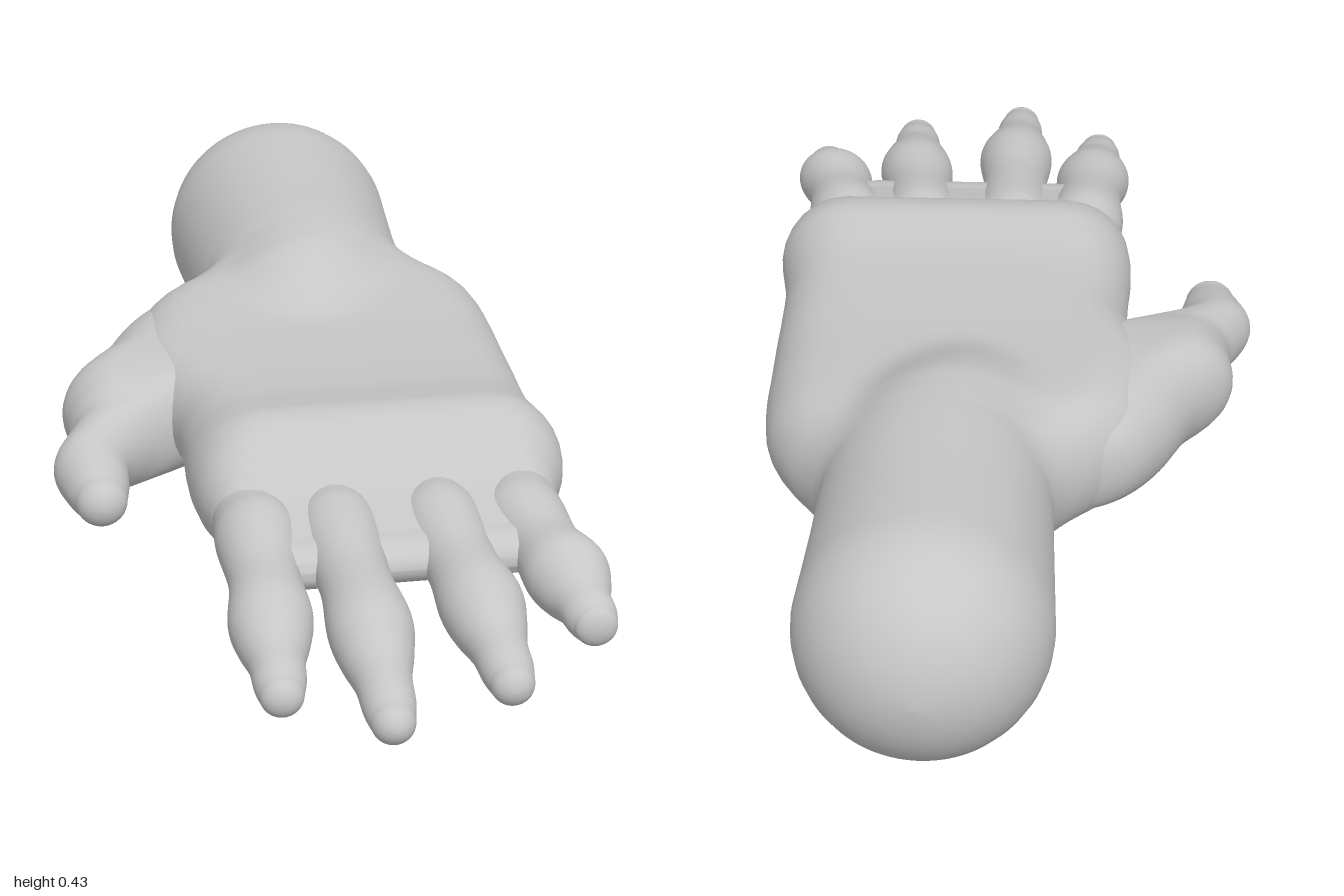
import * as THREE from 'three';

const SIDES = 80;
const FLAT = -0.1; // bulge value for sections without a round core

// Smoothly interpolates rows of numbers (Catmull-Rom), `steps` samples per span.
function smoothRows(rows, steps) {
  const out = [];
  const at = (i) => rows[Math.min(Math.max(i, 0), rows.length - 1)];
  for (let i = 0; i < rows.length - 1; i++) {
    for (let s = 0; s < steps; s++) {
      const t = s / steps;
      out.push(rows[i].map((p1, k) => {
        const p0 = at(i - 1)[k], p2 = at(i + 1)[k], p3 = at(i + 2)[k];
        return 0.5 * (2 * p1 + (p2 - p0) * t + (2 * p0 - 5 * p1 + 4 * p2 - p3) * t * t
          + (3 * p1 - p0 - 3 * p2 + p3) * t * t * t);
      }));
    }
  }
  out.push(rows[rows.length - 1]);
  return out;
}

// Rounded cap beyond one end section, listed from the section outwards.
function dome([z, x, y, w, h, bulge], depth) {
  const caps = [], r = Math.max(Math.min(w, h), bulge);
  for (let i = 1; i <= 10; i++) {
    const a = (i / 10) * Math.PI / 2, cut = r * (1 - Math.cos(a));
    caps.push([z + depth * Math.sin(a), x, y,
      Math.max(w - cut, 1e-5), Math.max(h - cut, 1e-5), bulge - cut]);
  }
  return caps;
}

// Distance from a section's centre to its outline: a stadium blended with a round core.
function outline(c, s, w, h, bulge) {
  const half = Math.max(w - h, 0);
  const flat = h / Math.abs(s);
  const d = flat * Math.abs(c) <= half
    ? flat
    : half * Math.abs(c) + Math.sqrt(Math.max(h * h - half * half * s * s, 0));
  const top = Math.max(d, bulge), k = Math.min(0.06, top);
  const mix = Math.max(k - Math.abs(d - bulge), 0) / k;
  return top + mix * mix * k / 4;
}

// Loft along z with domed ends. Each section is
// [z, centre x, centre y, half width, half height, core radius].
function loft(sections, backDepth, frontDepth) {
  const rings = [
    ...dome(sections[0], -backDepth).reverse(),
    ...smoothRows(sections, 5),
    ...dome(sections[sections.length - 1], frontDepth),
  ];
  const pos = [], index = [];
  rings.forEach(([z, x, y, w, h, bulge], i) => {
    for (let j = 0; j < SIDES; j++) {
      const a = ((j + 0.5) / SIDES) * Math.PI * 2;
      const c = Math.cos(a), s = Math.sin(a), d = outline(c, s, w, h, bulge);
      pos.push(x + d * c, y + d * s, z);
      if (i < rings.length - 1) {
        const n = (j + 1) % SIDES, p = i * SIDES, q = p + SIDES;
        index.push(p + j, p + n, q + j, p + n, q + n, q + j);
      }
    }
  });
  const geo = new THREE.BufferGeometry();
  geo.setAttribute('position', new THREE.Float32BufferAttribute(pos, 3));
  geo.setIndex(index);
  geo.computeVertexNormals();
  return geo;
}

export function createModel() {
  const hand = new THREE.Group();
  hand.name = 'hand';
  const grey = new THREE.MeshStandardMaterial({ color: 0xc6c6c6 });
  grey.name = 'lightGrey';

  const add = (name, sections, back, front) => {
    const mesh = new THREE.Mesh(loft(sections, back, front), grey);
    mesh.name = name;
    hand.add(mesh);
  };

  // Forearm, palm, knuckle ridge and finger webbing in one smooth skin
  add('forearmAndPalm', [
    [-0.79, 0.102, 0.217, 0.1, 0.08, 0.213],
    [-0.6, 0.1, 0.216, 0.1, 0.08, 0.203],
    [-0.5, 0.1, 0.216, 0.12, 0.085, 0.199],
    [-0.45, 0.1, 0.216, 0.175, 0.1, 0.197],
    [-0.41, 0.1, 0.216, 0.22, 0.11, 0.194],
    [-0.36, 0.094, 0.216, 0.27, 0.117, 0.19],
    [-0.29, 0.08, 0.216, 0.32, 0.121, 0.178],
    [-0.2, 0.07, 0.216, 0.34, 0.118, 0.135],
    [-0.1, 0.068, 0.216, 0.342, 0.112, 0.05],
    [0, 0.085, 0.216, 0.325, 0.11, FLAT],
    [0.08, 0.096, 0.216, 0.313, 0.11, FLAT],
    [0.17, 0.097, 0.216, 0.313, 0.114, FLAT],
    [0.24, 0.1, 0.216, 0.32, 0.126, FLAT],
    [0.29, 0.104, 0.217, 0.323, 0.131, FLAT],
    [0.34, 0.103, 0.215, 0.316, 0.119, FLAT],
    [0.385, 0.1, 0.209, 0.3, 0.09, FLAT],
    [0.43, 0.1, 0.203, 0.286, 0.064, FLAT],
    [0.49, 0.098, 0.199, 0.274, 0.05, FLAT],
    [0.54, 0.092, 0.194, 0.26, 0.042, FLAT],
  ], 0.21, 0.06);

  // Thumb: broad fleshy base narrowing to a short tip
  add('thumb', [
    [-0.38, 0, 0.21, 0.13, 0.06, FLAT],
    [-0.33, -0.07, 0.207, 0.158, 0.085, FLAT],
    [-0.25, -0.12, 0.203, 0.17, 0.107, FLAT],
    [-0.15, -0.17, 0.204, 0.17, 0.108, FLAT],
    [-0.07, -0.22, 0.203, 0.18, 0.105, FLAT],
    [0, -0.265, 0.2, 0.135, 0.097, FLAT],
    [0.05, -0.3, 0.195, 0.1, 0.085, FLAT],
    [0.09, -0.34, 0.191, 0.079, 0.078, FLAT],
    [0.14, -0.372, 0.188, 0.067, 0.067, FLAT],
    [0.2, -0.37, 0.18, 0.056, 0.056, FLAT],
    [0.24, -0.367, 0.177, 0.045, 0.045, FLAT],
  ], 0.05, 0.04);

  // Fingers: [name, knuckle x, joint x, y, z, tip x, y, z]
  const fingers = [
    ['indexFinger', -0.132, -0.142, 0.168, 0.68, -0.153, 0.127, 0.89],
    ['middleFinger', 0.005, 0.01, 0.175, 0.74, 0.007, 0.124, 1.0],
    ['ringFinger', 0.18, 0.202, 0.175, 0.69, 0.214, 0.134, 0.925],
    ['littleFinger', 0.322, 0.356, 0.188, 0.635, 0.383, 0.15, 0.78],
  ];
  for (const [name, kx, jx, jy, jz, tx, ty, tz] of fingers) {
    const mix = (a, b, t) => a + (b - a) * t;
    const row = (z, x, y, r) => [z, x, y, r, r, FLAT];
    const joint = (t, r) => row(mix(jz, tz, t), mix(jx, tx, t), mix(jy, ty, t), r);
    add(name, [
      row(0.36, kx, 0.206, 0.06),
      row(0.42, kx, 0.205, 0.066),
      row(0.48, kx, 0.204, 0.071),
      row(mix(0.48, jz, 0.55), mix(kx, jx, 0.5), mix(0.204, jy, 0.45), 0.06),
      row(jz, jx, jy, 0.07),
      joint(0.25, 0.062),
      joint(0.5, 0.047),
      joint(0.72, 0.043),
      joint(0.86, 0.036),
    ], 0.05, (tz - jz) * 0.14);
  }
  return hand;
}
